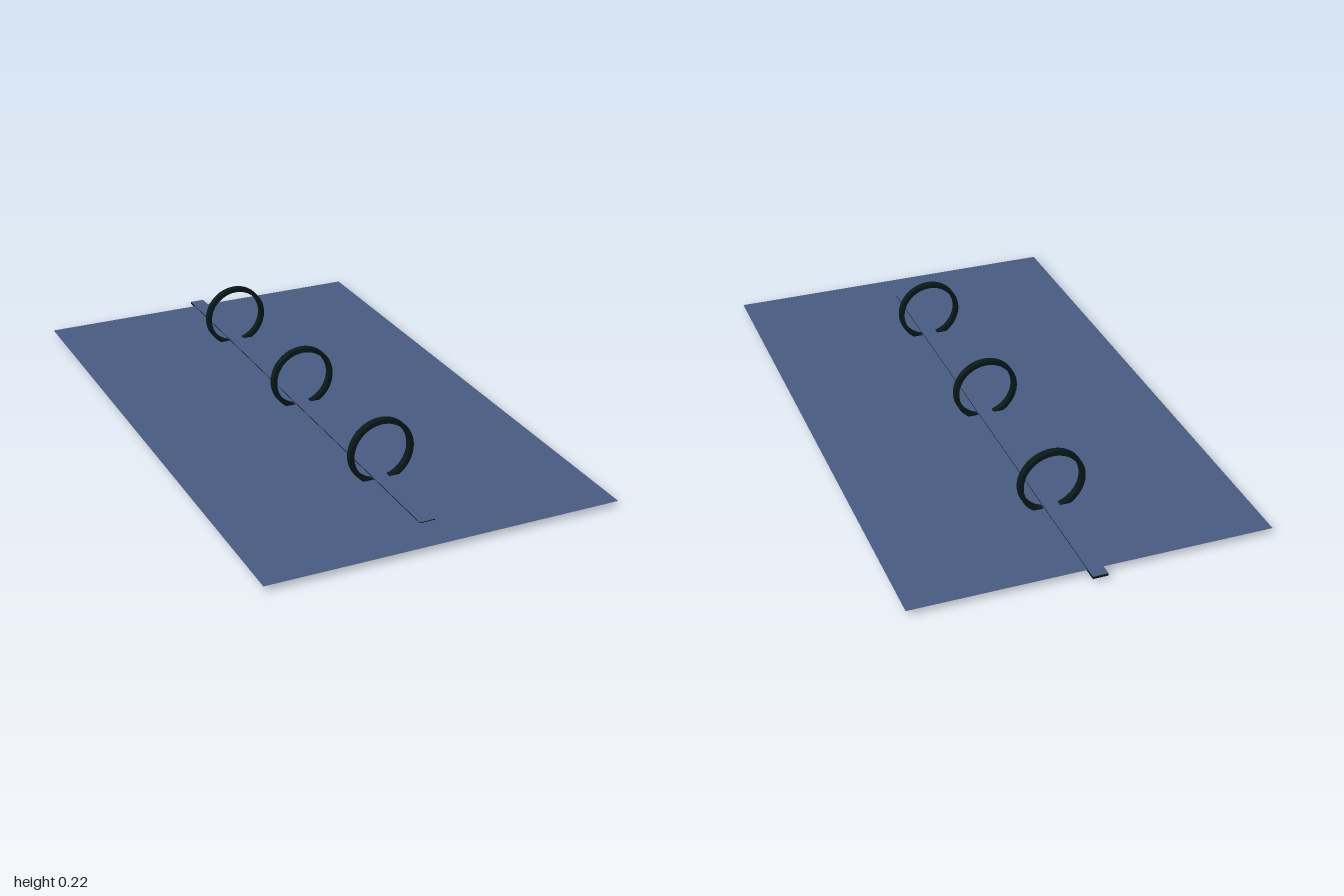
import * as THREE from 'three';

export function createModel() {
  const model = new THREE.Group();
  const blue = new THREE.MeshStandardMaterial({ name: 'slate blue', color: 0x4a5c84, side: THREE.DoubleSide });
  const dark = new THREE.MeshStandardMaterial({ name: 'near black green', color: 0x0a1a19 });

  function add(name, geometry, material, x, y, z) {
    const mesh = new THREE.Mesh(geometry, material);
    mesh.name = name;
    mesh.position.set(x, y, z);
    model.add(mesh);
    return mesh;
  }

  // Flat sheet with no thickness
  const sheet = new THREE.PlaneGeometry(1.17, 1.96).rotateX(-Math.PI / 2);
  add('sheet', sheet, blue, 0, 0.019, 0.02);

  // Thin spine through the sheet: dark sides and underside, blue top face
  const spineSides = [dark, dark, blue, dark, dark, dark];
  add('spine', new THREE.BoxGeometry(0.05, 0.008, 1.87), spineSides, 0, 0.018, -0.065);

  // Lowered tongue at the front end of the spine
  add('spineTongue', new THREE.BoxGeometry(0.05, 0.005, 0.085), dark, 0, 0.0145, 0.91);

  // Three binder rings, flat in section, passing under the spine
  const outline = new THREE.Shape().absarc(0, 0, 0.11, 0, Math.PI * 2, false);
  outline.holes.push(new THREE.Path().absarc(0, 0, 0.095, 0, Math.PI * 2, true));
  const ring = new THREE.ExtrudeGeometry(outline, { depth: 0.022, bevelEnabled: false, curveSegments: 32 });
  ring.translate(0, 0, -0.011);
  for (const z of [0.56, -0.027, -0.613]) add('ring', ring, dark, 0, 0.11, z);

  return model;
}
